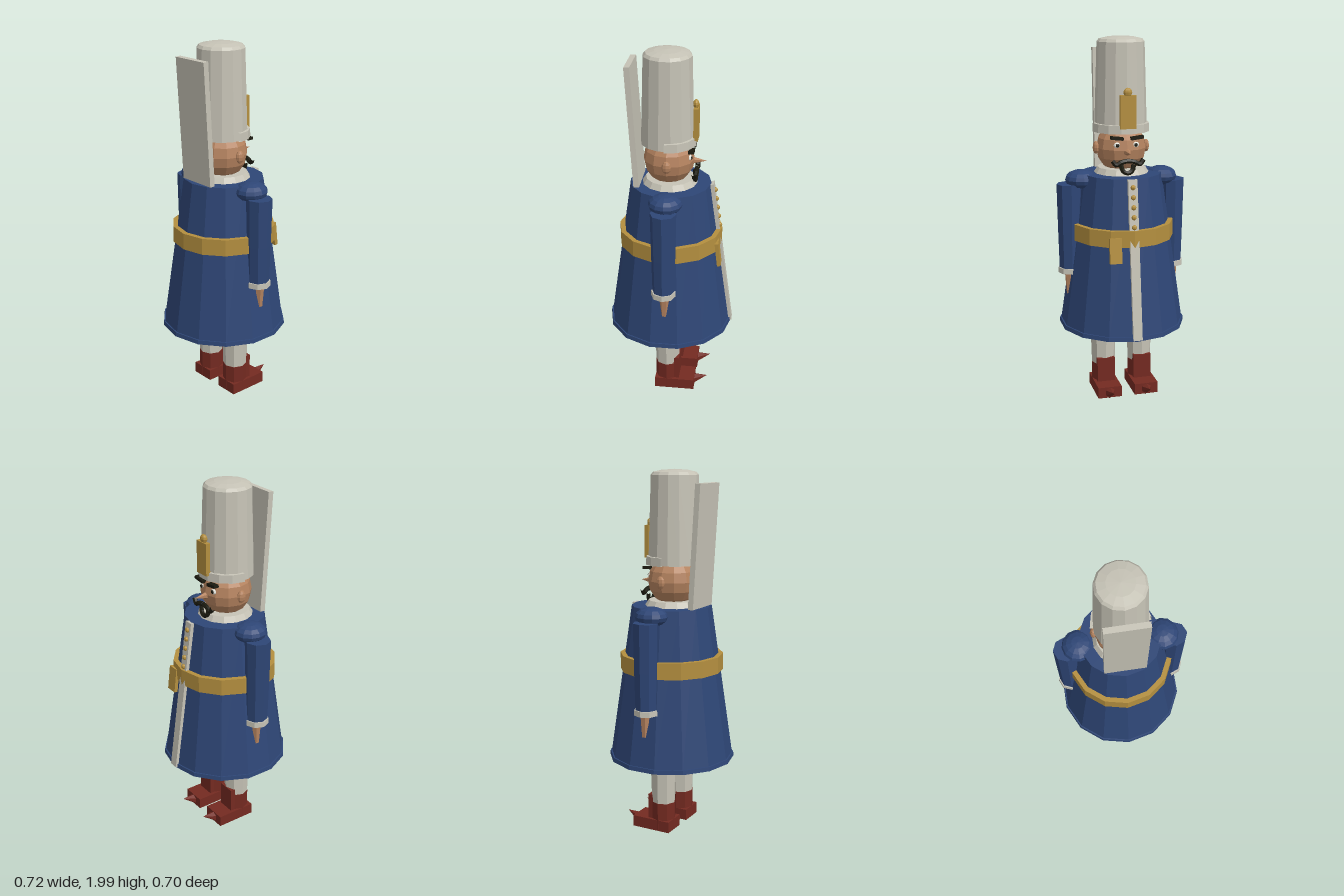
import * as THREE from 'three';

const mat = (name, color) => {
  const m = new THREE.MeshStandardMaterial({ color, flatShading: true });
  m.name = name;
  return m;
};

export function createModel() {
  const model = new THREE.Group();
  model.name = 'toySoldier';

  const blue = mat('coatBlue', 0x2e4676);
  const white = mat('offWhite', 0xc6c3b6);
  const gold = mat('gold', 0xb48f3f);
  const skin = mat('skin', 0xb5835f);
  const red = mat('bootRed', 0x742a21);
  const dark = mat('hairDark', 0x1c1b10);
  const eyeWhite = mat('eyeWhite', 0xe6e6de);

  const add = (name, geo, material, x = 0, y = 0, z = 0, parent = model) => {
    const mesh = new THREE.Mesh(geo, material);
    mesh.name = name;
    mesh.position.set(x, y, z);
    parent.add(mesh);
    return mesh;
  };
  const box = (w, h, d) => new THREE.BoxGeometry(w, h, d);
  // tapered prism between two heights
  const column = (name, material, rTop, rBottom, y0, y1, sides, x = 0, z = 0) =>
    add(name, new THREE.CylinderGeometry(rTop, rBottom, y1 - y0, sides), material, x, (y0 + y1) / 2, z);
  const ball = (name, material, r, x, y, z, sx = 1, sy = 1, sz = 1, w = 12, h = 8) => {
    const m = add(name, new THREE.SphereGeometry(r, w, h), material, x, y, z);
    m.scale.set(sx, sy, sz);
    return m;
  };
  const lathe = (pts, sides, start = 0, length = Math.PI * 2) =>
    new THREE.LatheGeometry(pts.map(p => new THREE.Vector2(...p)), sides, start, length);
  // strip of constant thickness leaning between two (y, z) points
  const leaning = (name, material, w, t, x, y0, z0, y1, z1) => {
    const m = add(name, box(w, Math.hypot(y1 - y0, z1 - z0), t), material, x, (y0 + y1) / 2, (z0 + z1) / 2);
    m.rotation.x = Math.atan2(z1 - z0, y1 - y0);
    return m;
  };
  const tube = (name, pts, r) => add(name, new THREE.TubeGeometry(
    new THREE.CatmullRomCurve3(pts.map(p => new THREE.Vector3(...p))), 10, r, 6), dark);

  // coat, hem and belt
  column('coat', blue, 0.218, 0.342, 0.42, 1.275, 14);
  column('coatHem', blue, 0.346, 0.349, 0.42, 0.443, 14);
  column('belt', gold, 0.283, 0.283, 0.92, 1.01, 14);

  // front stripe, buttons and belt pouch
  leaning('coatStripe', white, 0.05, 0.02, 0, 0.425, -0.342, 1.275, -0.223);
  for (let i = 0; i < 5; i++) {
    const y = 1.235 - i * 0.052;
    ball('button', gold, 0.014, 0, y, -0.239 - (1.235 - y) * 0.14, 1, 1, 1, 8, 6);
  }
  leaning('beltPouch', gold, 0.065, 0.02, 0.102, 0.84, -0.278, 0.975, -0.262);

  // collar and head
  column('collar', white, 0.13, 0.155, 1.265, 1.305, 14, 0, 0.005);
  ball('head', skin, 0.137, 0, 1.41, 0.01);

  // nose
  const nose = add('nose', new THREE.ConeGeometry(0.022, 0.08, 6), skin, 0, 1.402, -0.15);
  nose.rotation.x = -Math.PI / 2;

  // hat with domed top
  add('hat', lathe([[0, 1.5], [0.142, 1.5], [0.127, 1.97], [0.115, 1.985], [0.07, 1.995], [0, 2]], 14), white, 0, 0, 0.018);
  // half-round visor
  const visor = add('hatVisor', lathe([[0.13, 1.498], [0.156, 1.498], [0.154, 1.543], [0.13, 1.545], [0.13, 1.498]],
    7, Math.PI / 2, Math.PI), white, 0, 0, 0.018);
  visor.material = white.clone();
  visor.material.side = THREE.DoubleSide;
  // hat plate with knob
  add('hatPlate', box(0.085, 0.175, 0.025), gold, 0, 1.615, -0.133);
  ball('hatPlateKnob', gold, 0.024, 0, 1.717, -0.13, 1, 1, 0.7, 8, 6);

  // lever board on the back
  leaning('leverBoard', white, 0.222, 0.03, 0, 1.275, 0.172, 1.93, 0.211);

  // goatee below the mouth
  tube('goatee', [[-0.035, 1.335, -0.125], [-0.025, 1.302, -0.13], [0, 1.29, -0.132], [0.025, 1.302, -0.13], [0.035, 1.335, -0.125]], 0.013);

  for (const s of [1, -1]) {
    // face
    ball('ear', skin, 0.035, s * 0.14, 1.412, 0.008, 0.5, 1, 0.72, 8, 6);
    ball('eye', eyeWhite, 0.02, s * 0.05, 1.437, -0.104, 1, 0.8, 0.6, 8, 6);
    ball('pupil', dark, 0.01, s * 0.05, 1.437, -0.114, 1, 1, 0.5, 8, 6);
    const brow = add('eyebrow', box(0.068, 0.016, 0.03), dark, s * 0.055, 1.476, -0.115);
    brow.rotation.z = s * 0.12;
    tube('moustache', [[0, 1.358, -0.138], [s * 0.035, 1.352, -0.14], [s * 0.065, 1.338, -0.138], [s * 0.085, 1.362, -0.135]], 0.013);

    // arm
    ball('shoulder', blue, 0.09, s * 0.225, 1.245, 0.003, 0.96, 0.57, 1, 12, 8);
    column('upperArm', blue, 0.069, 0.064, 0.96, 1.222, 8, s * 0.29, 0.005);
    column('lowerArm', blue, 0.064, 0.059, 0.755, 0.96, 8, s * 0.29, 0.005);
    column('cuff', white, 0.066, 0.067, 0.728, 0.758, 8, s * 0.29, 0.005);
    column('hand', skin, 0.028, 0.018, 0.605, 0.73, 6, s * 0.295, 0);

    // leg and boot
    const x = s * 0.105;
    column('leg', white, 0.075, 0.066, 0.16, 0.44, 8, x, 0.006);
    column('bootShaft', red, 0.068, 0.068, 0.02, 0.18, 8, x, 0.006);
    add('bootFront', box(0.1, 0.2, 0.066), red, x, 0.12, -0.032);
    add('bootFoot', box(0.134, 0.062, 0.225), red, x, 0.051, -0.04);
    // pointed toe, tip raised level with the foot
    const toe = new THREE.ConeGeometry(0.036, 0.09, 6).rotateX(-Math.PI / 2);
    const p = toe.attributes.position;
    for (let i = 0; i < p.count; i++) if (p.getZ(i) < -0.04) p.setY(i, 0.034);
    toe.computeVertexNormals();
    add('bootToe', toe, red, x, 0.044, -0.18);
  }

  // share one off-white material that shows both sides of the open visor
  white.side = THREE.DoubleSide;
  visor.material = white;
  return model;
}
